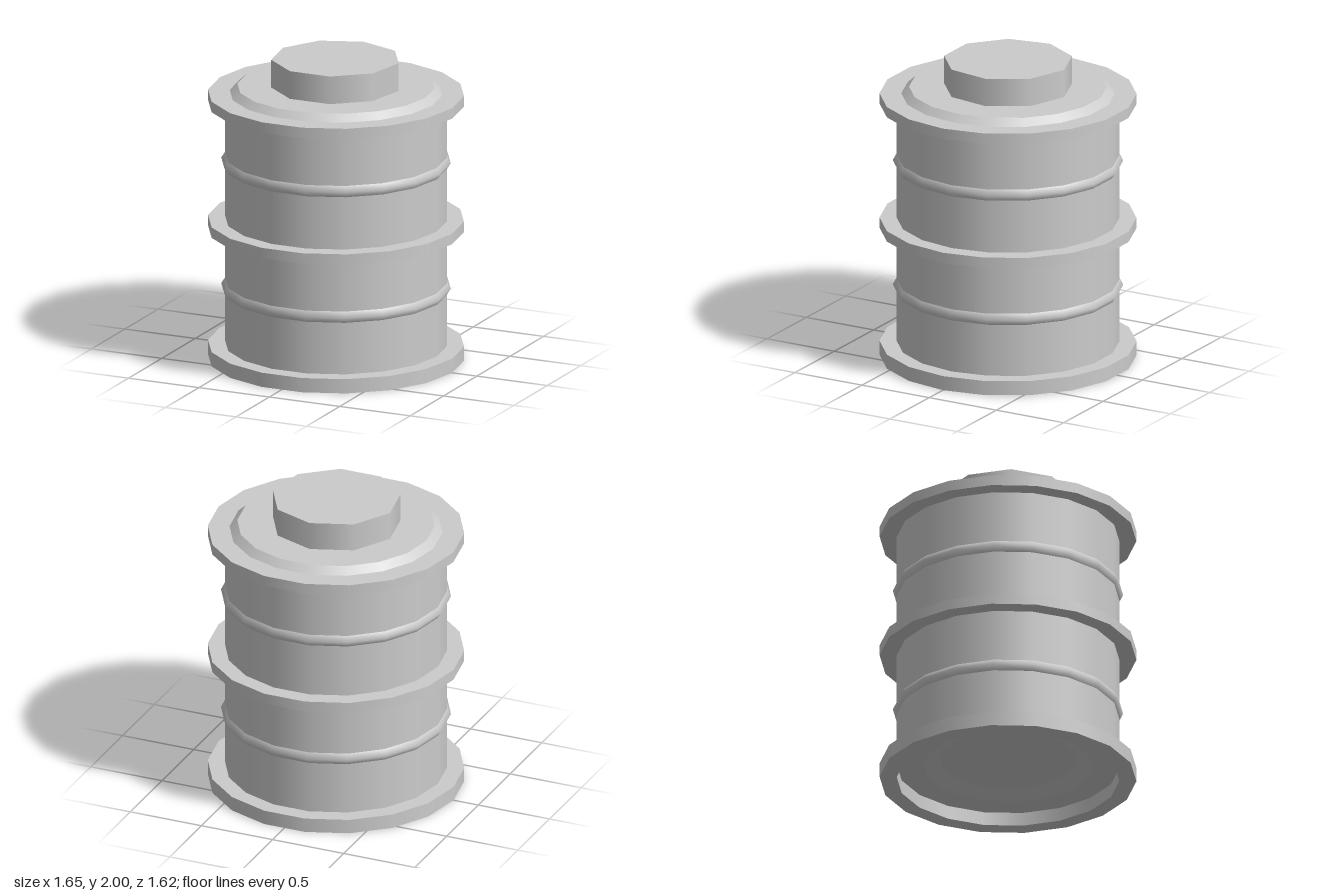
import * as THREE from 'three';
import { mergeGeometries } from 'three/addons/utils/BufferGeometryUtils.js';

const SIDES = 18;
const BODY_R = 0.715;
const FLANGE_R = 0.825;

// Smooth revolved surface with a corner on the +x axis by default
function revolve(points, sides = SIDES, start = Math.PI / 2) {
  return new THREE.LatheGeometry(points.map(([r, y]) => new THREE.Vector2(r, y)), sides, start);
}

// Revolved surface whose profile corners stay sharp: one smooth band per segment
function revolveSharp(points, sides, start) {
  const bands = [];
  for (let i = 0; i + 1 < points.length; i++) {
    bands.push(revolve([points[i], points[i + 1]], sides, start));
  }
  return mergeGeometries(bands);
}

export function createModel() {
  const model = new THREE.Group();
  model.name = 'barrel';
  const material = new THREE.MeshStandardMaterial({ color: 0xcccccc });

  const add = (name, geometry) => {
    const mesh = new THREE.Mesh(geometry, material);
    mesh.name = name;
    model.add(mesh);
  };

  // Plain wall sections between the flanges and beads
  const walls = [[0.095, 0.44], [0.515, 0.86], [0.93, 1.28], [1.355, 1.7]];
  walls.forEach(([y0, y1], i) => add(`wall${i + 1}`, revolve([[BODY_R, y0], [BODY_R, y1]])));

  // Rounded pressed beads
  [0.4775, 1.3175].forEach((y, i) => {
    add(`bead${i + 1}`, revolve([[BODY_R, y - 0.0375], [0.74, y], [BODY_R, y + 0.0375]]));
  });

  // Square-edged flanges
  const flanges = { baseFlange: [0, 0.095], middleFlange: [0.86, 0.93], topFlange: [1.7, 1.77] };
  for (const [name, [y0, y1]] of Object.entries(flanges)) {
    add(name, revolveSharp([[BODY_R, y0], [FLANGE_R, y0], [FLANGE_R, y1], [0.685, y1]]));
  }

  // Recessed underside with a sloping dish
  add('recessedBase', revolveSharp([[0, 0.14], [0.44, 0.14], [0.54, 0.09], [BODY_R, 0.09], [BODY_R, 0]]));

  // Bevelled lid
  add('lid', revolveSharp([[0.685, 1.77], [0.635, 1.815], [0, 1.815]]));

  // Nine-sided cap with one corner to the back
  add('cap', revolveSharp([[0.417, 1.815], [0.417, 2], [0, 2]], 9, Math.PI));

  return model;
}
